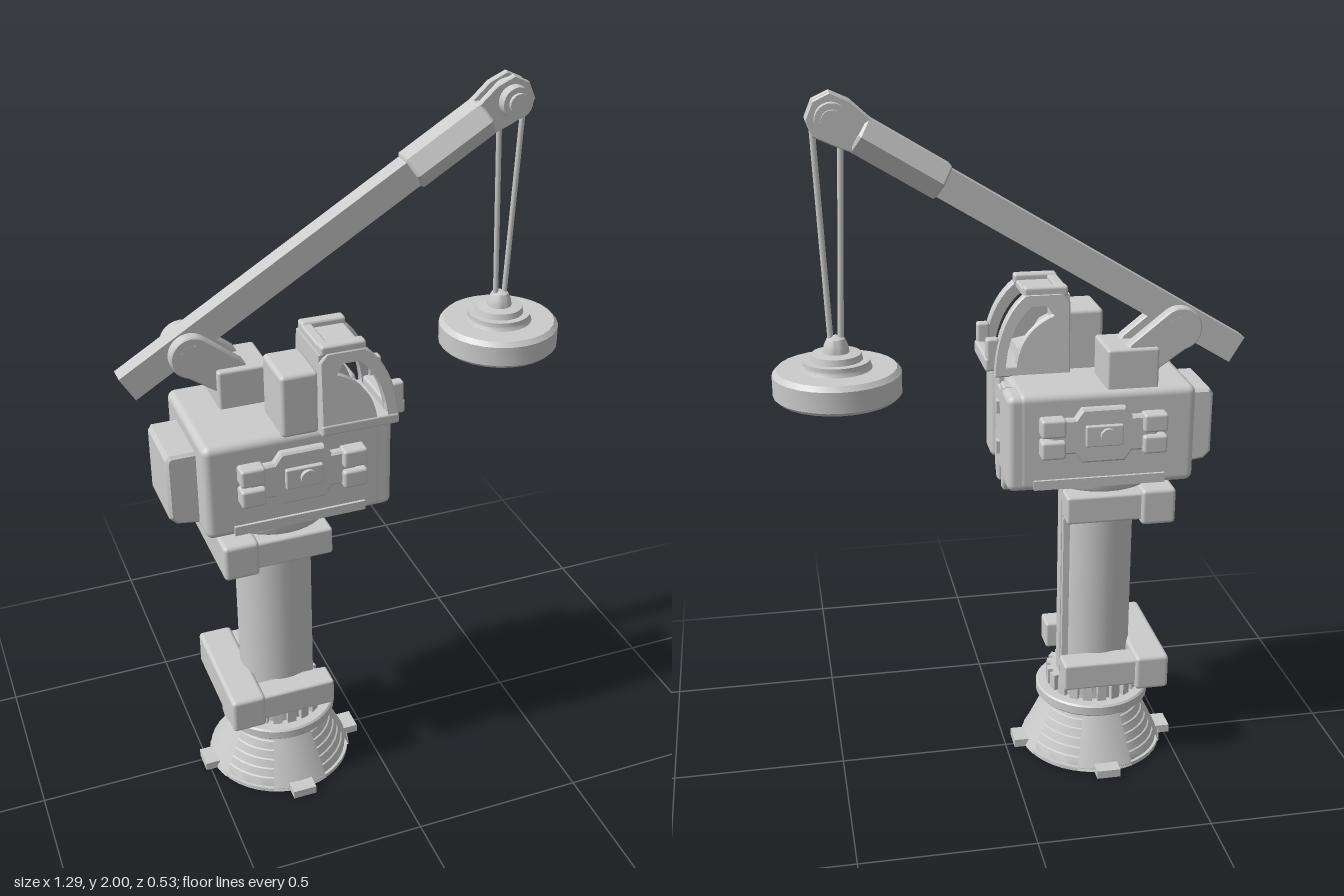
import * as THREE from 'three';
import { toCreasedNormals } from 'three/addons/utils/BufferGeometryUtils.js';
import { RoundedBoxGeometry } from 'three/addons/geometries/RoundedBoxGeometry.js';

const mat = new THREE.MeshStandardMaterial({ color: 0xcccccc, side: THREE.DoubleSide });
const CX = -0.27, CZ = 0.015;   // column axis
const AZ = -0.092;              // boom plane

function add(parent, name, geo, x = 0, y = 0, z = 0) {
  const m = new THREE.Mesh(geo, mat);
  m.name = name;
  m.position.set(x, y, z);
  parent.add(m);
  return m;
}

// Box from its limits, with an optional rounded edge
function box(parent, name, [x0, x1], [y0, y1], [z0, z1], r = 0) {
  const s = [x1 - x0, y1 - y0, z1 - z0];
  const geo = r ? new RoundedBoxGeometry(...s, 2, r) : new THREE.BoxGeometry(...s);
  return add(parent, name, geo, (x0 + x1) / 2, (y0 + y1) / 2, (z0 + z1) / 2);
}

const lathe = (pts, n = 32) =>
  toCreasedNormals(new THREE.LatheGeometry(pts.map(p => new THREE.Vector2(...p)), n), 0.5);

// Side-view shape extruded from z0 to z1
function slab(shape, z0, z1, bevel = 0) {
  const geo = new THREE.ExtrudeGeometry(shape, {
    depth: z1 - z0 - 2 * bevel, bevelEnabled: bevel > 0, bevelSize: bevel,
    bevelThickness: bevel, bevelOffset: -bevel, bevelSegments: 1, curveSegments: 10,
  });
  return toCreasedNormals(geo.translate(0, 0, z0 + bevel), 0.5);
}
const poly = pts => new THREE.Shape(pts.map(p => new THREE.Vector2(...p)));

function cylinderZ(parent, name, r, depth, x, y, z, n = 24) {
  return add(parent, name, new THREE.CylinderGeometry(r, r, depth, n).rotateX(Math.PI / 2), x, y, z);
}

function buildPedestal(root) {
  const g = new THREE.Group();
  g.name = 'pedestal';
  g.position.set(CX, 0, CZ);
  root.add(g);
  // Hollow flared base with stepped sides
  const steps = [];
  for (let i = 0; i < 6; i++) {
    const r = 0.203 - i * 0.0125;
    steps.push([r, 0.012 + i * 0.025], [r - 0.008, 0.035 + i * 0.025]);
  }
  add(g, 'flaredBase', lathe([[0, 0.14], [0.1, 0.14], [0.165, 0], [0.212, 0], [0.212, 0.012],
    ...steps, [0.132, 0.165], [0.165, 0.165], [0.17, 0.17], [0.17, 0.195], [0.165, 0.2],
    [0.125, 0.2], [0.125, 0.25], [0, 0.25]], 40));
  for (let i = 0; i < 4; i++) {
    const a = i * Math.PI / 2;
    add(g, 'basePanel', new THREE.CylinderGeometry(0.138, 0.215, 0.163, 8, 1, false, a - 0.4, 0.8), 0, 0.084, 0)
      .scale.setScalar(1);
    const foot = add(g, 'foot', new THREE.BoxGeometry(0.07, 0.025, 0.06), Math.sin(a) * 0.215, 0.0125, Math.cos(a) * 0.215);
    foot.rotation.y = a;
  }
  // Toothed ring
  for (let i = 0; i < 20; i++) {
    const a = i / 20 * Math.PI * 2;
    const t = add(g, 'ringTooth', new THREE.BoxGeometry(0.026, 0.05, 0.02), Math.sin(a) * 0.128, 0.225, Math.cos(a) * 0.128);
    t.rotation.y = a;
  }
  add(g, 'column', new THREE.CylinderGeometry(0.109, 0.109, 0.66, 36), 0, 0.57, 0);
  for (const z of [-0.02, -0.05])
    box(g, 'columnRail', [0.08, 0.108], [0.25, 0.9], [z - 0.012, z + 0.008]);
  // U-shaped clamps open toward the front of the column
  for (const y of [0.25, 0.785]) {
    box(g, 'clampBack', [-0.19, -0.09], [y, y + 0.107], [-0.18, 0.18], 0.012);
    for (const s of [-1, 1]) {
      const z = [0.095 * s, 0.17 * s].sort((a, b) => a - b);
      box(g, 'clampArm', [-0.1, 0.123], [y + 0.014, y + 0.096], z, 0.008);
    }
  }
  add(g, 'turntable', lathe([[0.1, 0.87], [0.125, 0.88], [0.16, 0.89], [0.165, 0.9], [0.165, 0.94], [0, 0.94]], 36));
}

function buildHousing(root) {
  const g = new THREE.Group();
  g.name = 'housing';
  root.add(g);
  box(g, 'housingBody', [-0.5, 0], [0.92, 1.2], [-0.182, 0.185], 0.022);
  for (const z of [[-0.18, -0.075], [0.085, 0.183]])
    box(g, 'frontPillar', [-0.06, 0.027], [0.92, 1.197], z, 0.02);
  // Notched plate between the pillars, turned to face +x
  const plate = poly([[-0.075, 0.92], [-0.05, 0.875], [-0.025, 0.875], [-0.025, 0.93], [0.025, 0.93], [0.025, 0.875],
    [0.05, 0.875], [0.075, 0.92], [0.075, 1.0], [0.065, 1.02], [0.065, 1.1], [0.075, 1.12], [0.075, 1.19],
    [0.02, 1.19], [0.02, 1.17], [-0.02, 1.17], [-0.02, 1.19], [-0.075, 1.19], [-0.075, 1.12], [-0.065, 1.1],
    [-0.065, 1.02], [-0.075, 1.0]]);
  add(g, 'frontPlate', slab(plate, -0.03, 0.018, 0.005).rotateY(Math.PI / 2), 0, 0, 0.005);
  for (const y of [1.11, 0.99])
    box(g, 'frontPlateLug', [0.01, 0.027], [y - 0.018, y + 0.018], [-0.008, 0.018]);
  box(g, 'lowerLip', [-0.09, -0.004], [0.88, 0.93], [-0.07, 0.08], 0.01);
  // Counterweight with sloped lower edge
  add(g, 'counterweight', slab(poly([[-0.49, 0.935], [-0.56, 0.945], [-0.58, 0.965], [-0.58, 1.14], [-0.57, 1.155], [-0.49, 1.155]]),
    -0.087, 0.112, 0.008));
  // Matching fittings on both sides
  for (const s of [-1, 1]) {
    const side = new THREE.Group();
    side.name = 'sideFitting';
    side.position.set(-0.235, 1.082, s > 0 ? 0.185 : -0.182);
    side.rotation.y = s > 0 ? 0 : Math.PI;
    g.add(side);
    add(side, 'fittingPlate', slab(poly([[-0.15, -0.05], [-0.08, -0.05], [-0.06, -0.078], [0.06, -0.078], [0.08, -0.05],
      [0.15, -0.05], [0.15, 0.05], [0.08, 0.05], [0.06, 0.078], [-0.06, 0.078], [-0.08, 0.05], [-0.15, 0.05]]), -0.01, 0.022, 0.006));
    for (const x of [-0.142, 0.142]) for (const y of [-0.031, 0.031])
      box(side, 'fittingLug', [x - 0.034, x + 0.034], [y - 0.026, y + 0.026], [-0.01, 0.04], 0.008);
    box(side, 'fittingBoss', [-0.052, 0.052], [-0.028, 0.032], [0, 0.034], 0.004);
    cylinderZ(side, 'fittingBolt', 0.022, 0.045, 0.008, 0.004, 0.023, 12);
    box(side, 'lowerRail', [-0.19, 0.18], [-0.155, -0.128], [-0.02, 0.008]);
  }
}

function buildCab(root) {
  const g = new THREE.Group();
  g.name = 'cab';
  root.add(g);
  // Arched side frames, each with a curved window
  const frame = new THREE.Shape();
  frame.moveTo(-0.185, 1.195);
  frame.lineTo(-0.185, 1.4);
  frame.lineTo(-0.165, 1.425);
  frame.lineTo(-0.06, 1.425);
  frame.bezierCurveTo(-0.01, 1.39, 0.03, 1.31, 0.032, 1.195);
  const win = new THREE.Path();
  win.moveTo(-0.145, 1.36);
  win.lineTo(-0.125, 1.395);
  win.lineTo(-0.075, 1.395);
  win.bezierCurveTo(-0.03, 1.36, -0.002, 1.3, 0.004, 1.215);
  win.lineTo(-0.035, 1.215);
  win.bezierCurveTo(-0.04, 1.28, -0.07, 1.33, -0.145, 1.36);
  frame.holes.push(win);
  for (const s of [-1, 1]) {
    const z = 0.108 + s * 0.095;
    const m = add(g, 'cabSideFrame', slab(frame, -0.016, 0.016, 0.004), 0, 0, z);
    m.geometry.translate(0, -1.195, 0);
    m.position.y = 1.195;
    m.rotation.x = -s * 0.07;
  }
  box(g, 'cabFloor', [-0.185, 0.03], [1.195, 1.225], [0.0, 0.22], 0.006);
  box(g, 'cabRear', [-0.185, -0.155], [1.2, 1.42], [0.02, 0.195]);
  add(g, 'cabConsole', slab(poly([[-0.17, 1.2], [-0.17, 1.33], [-0.13, 1.31], [-0.1, 1.26], [-0.05, 1.25], [-0.04, 1.2]]), 0.02, 0.195));
  box(g, 'cabRoof', [-0.18, -0.06], [1.405, 1.428], [0.02, 0.195], 0.006);
  for (const z of [[0.015, 0.05], [0.165, 0.2]])
    box(g, 'roofRail', [-0.18, -0.055], [1.415, 1.445], z, 0.008);
  box(g, 'roofRearRail', [-0.18, -0.15], [1.415, 1.44], [0.02, 0.195], 0.006);
  // Front sill and guard
  box(g, 'frontSill', [0.0, 0.035], [1.2, 1.25], [0.01, 0.205], 0.008);
  box(g, 'frontGuard', [0.028, 0.056], [1.21, 1.25], [0.01, 0.2], 0.008);
  for (const z of [[0.01, 0.04], [0.17, 0.2]])
    box(g, 'guardPost', [0.015, 0.052], [1.21, 1.305], z, 0.008);
  box(g, 'rearCabinet', [-0.285, -0.18], [1.19, 1.37], [0.03, 0.185], 0.012);
}

function buildBoom(root) {
  // Mount and pivot links
  box(root, 'boomMount', [-0.395, -0.25], [1.19, 1.31], [-0.165, -0.01], 0.008);
  const link = new THREE.Shape();
  link.absarc(0, 0, 0.06, 0.9, Math.PI * 1.42, false);
  link.lineTo(0.09, -0.13);
  link.lineTo(0.17, -0.09);
  link.lineTo(0.14, -0.035);
  for (const z of [-0.05, 0.038])
    add(root, 'pivotLink', slab(link, z - 0.012, z + 0.024, 0.004), -0.455, 1.355, AZ);
  cylinderZ(root, 'pivotPin', 0.035, 0.125, -0.455, 1.355, AZ);

  const g = new THREE.Group();
  g.name = 'boom';
  g.position.set(-0.628, 1.277, AZ);
  g.rotation.z = Math.atan2(0.658, 1.088);
  root.add(g);
  const L = 1.272;
  box(g, 'boomArm', [0, 1.2], [-0.04, 0.04], [-0.027, 0.027]);
  // Six-sided sleeve
  const hex = poly([[-0.03, -0.048], [0.03, -0.048], [0.057, 0], [0.03, 0.048], [-0.03, 0.048], [-0.057, 0]]);
  add(g, 'boomSleeve', slab(hex, 0.945, 1.195, 0.006).rotateY(Math.PI / 2));
  // Fork head with pulley
  const head = poly([[-0.13, -0.04], [-0.04, -0.055], [0.02, -0.062], [0.055, -0.035], [0.062, 0.015],
    [0.035, 0.055], [-0.02, 0.062], [-0.13, 0.04]]);
  for (const z of [-0.022, 0.022])
    add(g, 'forkCheek', slab(head, z - 0.01, z + 0.01, 0.003), L, 0, 0);
  cylinderZ(g, 'pulley', 0.05, 0.026, L, 0, 0);
  cylinderZ(g, 'axle', 0.043, 0.125, L, 0, 0);
  cylinderZ(g, 'axleCap', 0.028, 0.147, L, 0, 0, 16);
}

function buildMagnet(root) {
  const x = 0.472;
  add(root, 'liftingDisc', lathe([[0, 1.22], [0.115, 1.22], [0.12, 1.212], [0.135, 1.212], [0.14, 1.205], [0.162, 1.205],
    [0.172, 1.215], [0.172, 1.272], [0.16, 1.285], [0.095, 1.285], [0.09, 1.295], [0.09, 1.308], [0.07, 1.308],
    [0.066, 1.325], [0.035, 1.328], [0.033, 1.345], [0.024, 1.365], [0, 1.376]], 28), x, 0, -0.1);
  for (const s of [-1, 1]) {
    const path = new THREE.LineCurve3(new THREE.Vector3(x + s * 0.036, 1.92, AZ), new THREE.Vector3(x + s * 0.013, 1.35, -0.1));
    add(root, 'cable', new THREE.TubeGeometry(path, 1, 0.008, 8));
  }
}

export function createModel() {
  const root = new THREE.Group();
  root.name = 'dockCrane';
  buildPedestal(root);
  buildHousing(root);
  buildCab(root);
  buildBoom(root);
  buildMagnet(root);
  return root;
}
